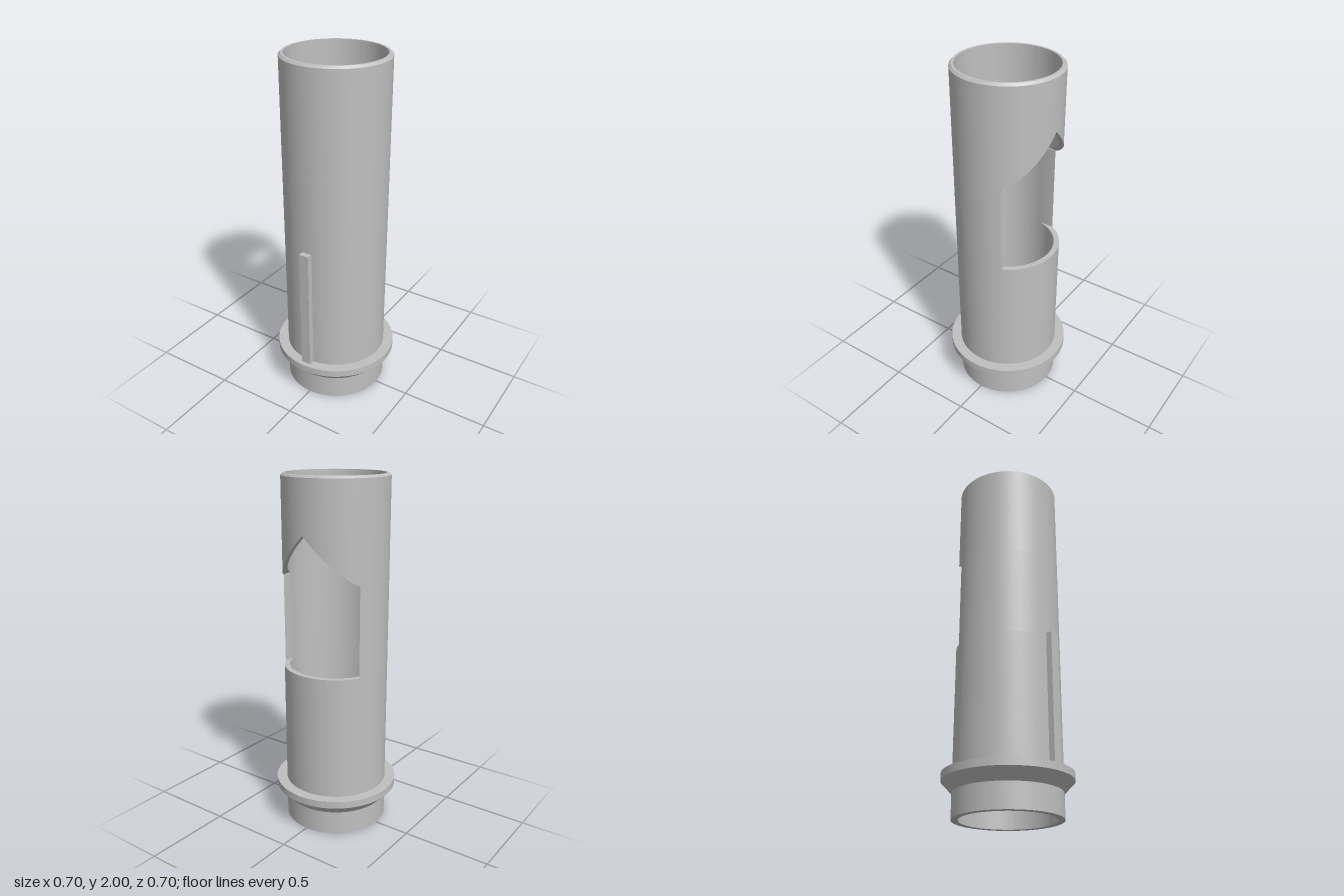
import * as THREE from 'three';
import { toCreasedNormals } from 'three/addons/utils/BufferGeometryUtils.js';

const OUTER = 0.293;          // outer radius of the tube
const HALF = 0.257;           // half width of the rear window
const SILL = 0.94;            // bottom of the window
const APEX = 1.7;             // peak of the gabled window top
const EAVE = APEX - HALF;     // where the gable meets the upright edges
const bore = (y) => 0.257 + 0.0055 * y; // slightly tapered bore

export function createModel() {
  const model = new THREE.Group();
  model.name = 'slottedTube';
  const grey = new THREE.MeshStandardMaterial({ color: 0xbfbfbf });
  grey.name = 'grey';

  const add = (name, geometry) => {
    const mesh = new THREE.Mesh(geometry, grey);
    mesh.name = name;
    model.add(mesh);
    return mesh;
  };
  const lathe = (points) =>
    new THREE.LatheGeometry(points.map(([r, y]) => new THREE.Vector2(r, y)), 180);

  // Lower tube with its conical collar
  add('lowerTubeWithCollar', toCreasedNormals(lathe([
    [bore(0), 0], [OUTER, 0], [OUTER, 0.137], [0.352, 0.197], [0.352, 0.238],
    [OUTER, 0.238], [OUTER, SILL], [bore(SILL), SILL], [bore(0), 0],
  ]), 0.5));

  // Middle wall, open at the back
  const a = Math.acos(HALF / OUTER);
  const b = Math.acos(HALF / bore(1.2));
  const plan = new THREE.Shape();
  plan.absarc(0, 0, OUTER, Math.PI - a, 2 * Math.PI + a, false);
  plan.absarc(0, 0, bore(1.2), 2 * Math.PI + b, Math.PI - b, true);
  plan.closePath();
  const wall = new THREE.ExtrudeGeometry(plan, {
    depth: EAVE - SILL, bevelEnabled: false, curveSegments: 120,
  });
  wall.rotateX(-Math.PI / 2).translate(0, SILL, 0);
  const wp = wall.attributes.position;
  for (let i = 0; i < wp.count; i++) {
    const r = Math.hypot(wp.getX(i), wp.getZ(i));
    if (r > 0.28) continue;
    const k = bore(wp.getY(i)) / r;
    wp.setX(i, wp.getX(i) * k);
    wp.setZ(i, wp.getZ(i) * k);
  }
  add('middleWall', toCreasedNormals(wall, 0.5));

  // Upper tube: chamfered rim, lower edge raised into a gable at the back
  const upper = lathe([
    [bore(EAVE), EAVE], [OUTER, EAVE], [OUTER, 1.988], [0.281, 2],
    [bore(2), 2], [bore(EAVE), EAVE],
  ]);
  const up = upper.attributes.position;
  for (let i = 0; i < up.count; i++) {
    if (up.getY(i) < EAVE + 0.001 && up.getZ(i) < 0) {
      up.setY(i, Math.max(EAVE, APEX - Math.abs(up.getX(i))));
    }
  }
  add('upperTube', toCreasedNormals(upper, 0.5));

  // Straight key rib on the front
  add('frontRib', new THREE.BoxGeometry(0.058, 0.727, 0.045))
    .position.set(0, 0.6015, 0.3025);

  return model;
}
